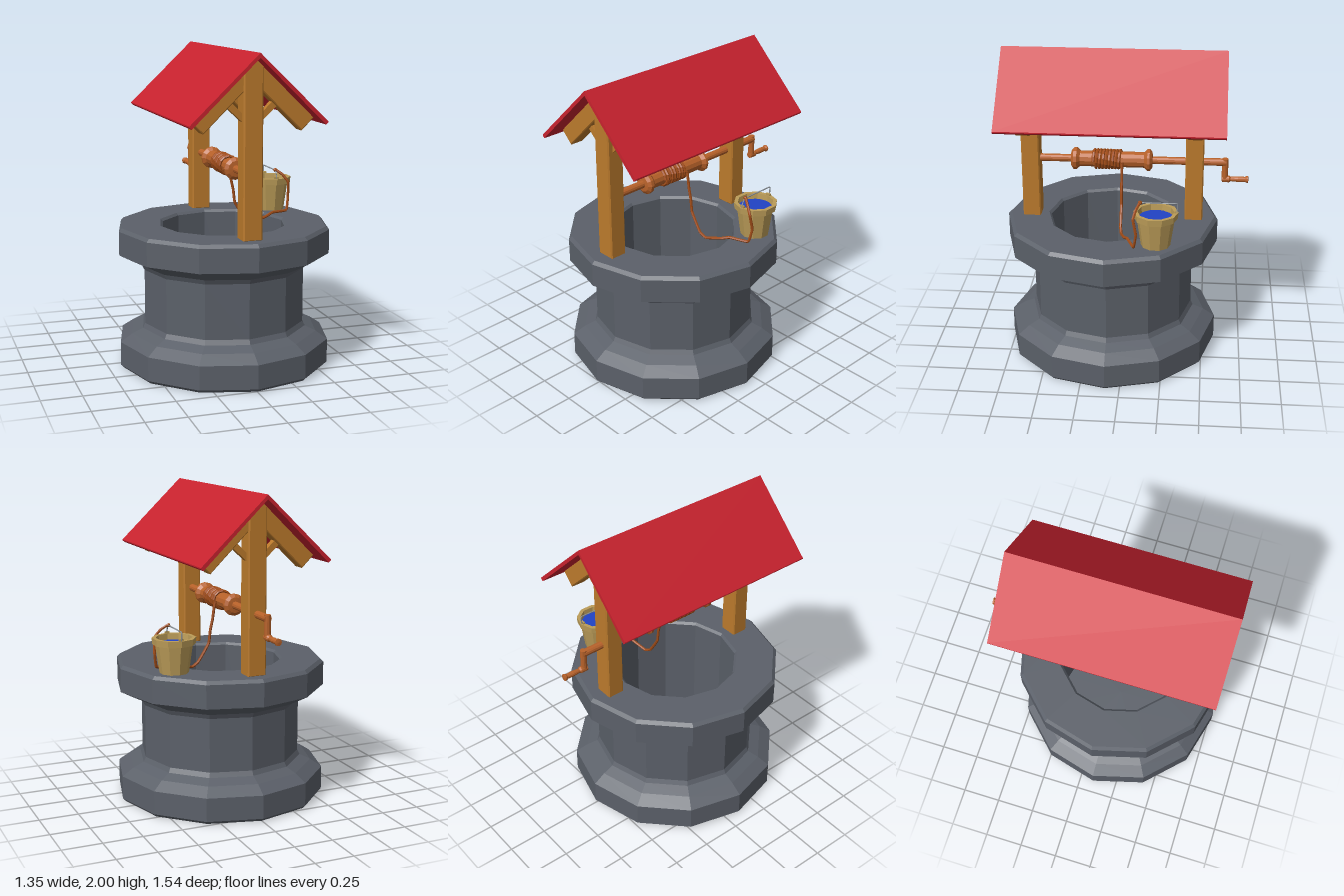
import * as THREE from 'three';

const mat = (color, flatShading = true, side = THREE.FrontSide) =>
  new THREE.MeshStandardMaterial({ color, flatShading, side });
const stone = mat(0x5b6069);
const wood = mat(0xbb7a2c);
const drumWood = mat(0xb8622a);
const ropeMat = mat(0xa04c18);
const roofRed = mat(0xc8222e);
const bucketWood = mat(0xbb9c58);
const waterBlue = mat(0x2143c4);
const wire = mat(0x8a9096);

const V = (x, y, z) => new THREE.Vector3(x, y, z);

export function createModel() {
  const well = new THREE.Group();
  well.name = 'well';

  const add = (name, geometry, material, parent = well) => {
    const mesh = new THREE.Mesh(geometry, material);
    mesh.name = name;
    parent.add(mesh);
    return mesh;
  };

  const lathe = (points, sides) =>
    new THREE.LatheGeometry(points.map(([r, y]) => new THREE.Vector2(r, y)), sides);

  // Outline in x/y, extruded along z with small chamfers inside the given size
  const slab = (points, z0, z1, chamfer = 0) => {
    const shape = new THREE.Shape(points.map(([x, y]) => new THREE.Vector2(x, y)));
    const geometry = new THREE.ExtrudeGeometry(shape, {
      depth: z1 - z0 - 2 * chamfer,
      bevelEnabled: chamfer > 0,
      bevelSize: chamfer,
      bevelThickness: chamfer,
      bevelOffset: -chamfer,
      bevelSegments: 1,
    });
    return geometry.translate(0, 0, z0 + chamfer);
  };

  // Straight-sided tube through the points
  const cord = (points, radius, steps = 8, tension = 0.15) =>
    new THREE.TubeGeometry(
      new THREE.CatmullRomCurve3(points, false, 'catmullrom', tension),
      points.length * steps, radius, 6);

  // Twelve-sided stone wall with a hollow shaft
  const wall = add('stoneWall', lathe([
    [0, 0], [0.655, 0], [0.675, 0.02], [0.675, 0.17], [0.6, 0.22], [0.53, 0.25],
    [0.515, 0.28], [0.515, 0.625], [0.53, 0.655], [0.6, 0.69], [0.675, 0.73],
    [0.675, 0.88], [0.655, 0.9], [0.41, 0.9], [0.395, 0.885], [0.395, 0.05], [0, 0.05],
  ], 12), stone);
  wall.position.z = 0.093;

  // Two gable frames: post, rafters and diagonal braces
  for (const [name, z] of [['frontFrame', 0.605], ['backFrame', -0.427]]) {
    const frame = new THREE.Group();
    frame.name = name;
    frame.position.z = z;
    well.add(frame);
    add('post', slab([[-0.06, 0.895], [0.06, 0.895], [0.06, 1.915], [0, 1.975], [-0.06, 1.915]],
      -0.057, 0.057, 0.008), wood, frame);
    for (const s of [-1, 1]) {
      const mirror = (points) => points.map(([x, y]) => [s * x, y]);
      add('rafter', slab(mirror([[0, 1.83], [0.3, 1.537], [0.377, 1.612], [0, 1.978]]),
        -0.048, 0.048, 0.006), wood, frame);
      add('brace', slab(mirror([[0.045, 1.585], [0.17, 1.7], [0.145, 1.73], [0.045, 1.635]]),
        -0.022, 0.022), wood, frame);
    }
  }

  // Gabled roof
  add('roof', slab([[0, 2], [-0.417, 1.602], [-0.417, 1.595], [-0.403, 1.583], [0, 1.972],
    [0.403, 1.583], [0.417, 1.595], [0.417, 1.602]], -0.613, 0.768), roofRed);

  // Windlass: axle, drum, crank; profiles run along -z from z = 0
  const windlass = new THREE.Group();
  windlass.name = 'windlass';
  windlass.position.y = 1.278;
  well.add(windlass);
  const turned = (name, points, y = 0) => {
    const part = add(name, lathe(points, 12), drumWood, windlass);
    part.rotation.x = -Math.PI / 2;
    part.position.y = y;
  };
  turned('axle', [[0, -0.57], [0.024, -0.57], [0.024, 0.625], [0, 0.625]]);
  turned('drum', [
    [0, -0.355], [0.05, -0.35], [0.07, -0.335], [0.07, -0.315], [0.05, -0.295],
    [0.05, 0.11], [0.07, 0.13], [0.07, 0.145], [0.05, 0.16], [0, 0.165],
  ]);
  const arm = add('crankArm', new THREE.CylinderGeometry(0.02, 0.02, 0.147, 12), drumWood, windlass);
  arm.position.set(0, -0.05, -0.617);
  turned('crankHandle', [
    [0, 0.597], [0.02, 0.6], [0.022, 0.645], [0.014, 0.655], [0.018, 0.7],
    [0.016, 0.745], [0.022, 0.755], [0.022, 0.764], [0, 0.767],
  ], -0.113);

  // Rope wound on the drum
  const turns = 9;
  const coil = [];
  for (let i = 0; i <= turns * 12; i++) {
    const a = (i / 12) * Math.PI * 2;
    coil.push(V(Math.cos(a) * 0.056, Math.sin(a) * 0.056, 0.21 - (0.182 * i) / (turns * 12)));
  }
  add('ropeCoil', cord(coil, 0.011, 1, 0.5), ropeMat, windlass);

  // Loose rope: down from the drum, over the inner rim, up to the bucket
  add('looseRope', cord([
    V(0.056, 1.28, 0.028), V(0.066, 1.215, 0.028), V(0.074, 1.16, 0.028), V(0.09, 1.09, 0.028),
    V(0.1, 1.01, 0.028), V(0.135, 0.95, 0.028), V(0.175, 0.89, 0.028), V(0.22, 0.865, 0.02),
    V(0.33, 0.895, -0.005), V(0.38, 0.912, -0.03), V(0.495, 0.912, -0.075),
    V(0.512, 1.0, -0.09), V(0.505, 1.1, -0.072), V(0.47, 1.15, -0.088), V(0.43, 1.18, -0.11),
  ], 0.009), ropeMat);

  // Bucket with staved sides, rim band, water and wire handle
  const bucket = new THREE.Group();
  bucket.name = 'bucket';
  bucket.position.set(0.428, 0.9, -0.205);
  well.add(bucket);
  add('bucketBody', lathe([
    [0, 0.003], [0.09, 0.003], [0.116, 0.182], [0.133, 0.182], [0.136, 0.222],
    [0.112, 0.222], [0.107, 0.17], [0, 0.17],
  ], 10), bucketWood);
  bucket.add(well.children[well.children.length - 1]);
  const water = add('water', new THREE.CircleGeometry(0.11, 10), waterBlue, bucket);
  water.rotation.x = -Math.PI / 2;
  water.position.y = 0.185;
  for (const s of [-1, 1]) {
    add('handleLug', new THREE.BoxGeometry(0.03, 0.04, 0.012), bucketWood, bucket)
      .position.set(0, 0.215, s * 0.118);
  }
  add('wireHandle', cord([
    V(0, 0.21, 0.122), V(0, 0.235, 0.122), V(0, 0.277, 0.1), V(0, 0.277, -0.128),
    V(0, 0.235, -0.128), V(0, 0.21, -0.122),
  ], 0.004, 8, 0.05), wire, bucket);
  add('ropeKnot', new THREE.IcosahedronGeometry(0.014, 0), ropeMat, bucket)
    .position.set(0, 0.278, 0.095);

  return well;
}
